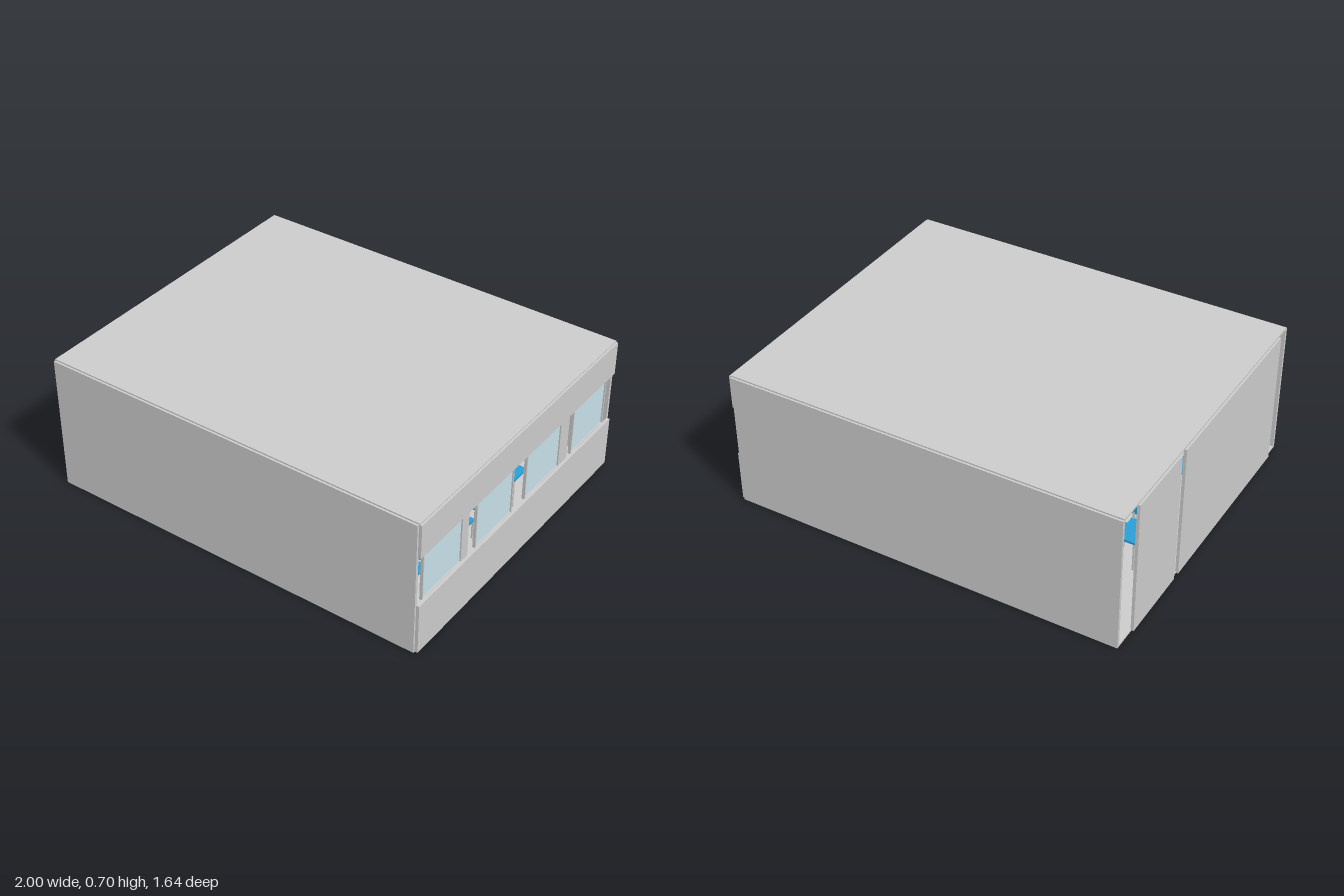
import * as THREE from 'three';

const mat = (color) => new THREE.MeshStandardMaterial({ color });
const grey = mat(0xcccccc);
const glass = mat(0xc8dfe8);
const blue = mat(0x2a9fd8);
const wood = mat(0x9a6b45);
const dark = mat(0x3a4440);

// Box given by its minimum and maximum on each axis
function slab(parent, name, [x0, x1], [y0, y1], [z0, z1], material = grey) {
  const mesh = new THREE.Mesh(new THREE.BoxGeometry(x1 - x0, y1 - y0, z1 - z0), material);
  mesh.position.set((x0 + x1) / 2, (y0 + y1) / 2, (z0 + z1) / 2);
  mesh.name = name;
  parent.add(mesh);
  return mesh;
}

// Four thin legs under a rectangular top
function legs(parent, w, d, h) {
  for (const sx of [-1, 1]) for (const sz of [-1, 1]) {
    const x = sx * (w / 2 - 0.006), z = sz * (d / 2 - 0.006);
    slab(parent, 'leg', [x - 0.004, x + 0.004], [0, h], [z - 0.004, z + 0.004]);
  }
}

function makeDesk(name, w, d, h, topMaterial) {
  const desk = new THREE.Group();
  desk.name = name;
  slab(desk, 'deskTop', [-w / 2, w / 2], [h - 0.012, h], [-d / 2, d / 2], topMaterial);
  legs(desk, w, d, h - 0.012);
  return desk;
}

function makeChair() {
  const chair = new THREE.Group();
  chair.name = 'chair';
  slab(chair, 'seat', [-0.045, 0.045], [0.1, 0.11], [-0.045, 0.045], blue);
  slab(chair, 'backrest', [-0.045, 0.045], [0.14, 0.2], [0.038, 0.045], blue);
  for (const x of [-0.035, 0.035]) slab(chair, 'backPost', [x - 0.004, x + 0.004], [0.1, 0.15], [0.036, 0.043]);
  legs(chair, 0.09, 0.09, 0.1);
  return chair;
}

export function createModel() {
  const room = new THREE.Group();
  room.name = 'classroom';

  // Floor, roof and the two long walls
  slab(room, 'floor', [-0.99, 0.99], [0, 0.01], [-0.81, 0.81]);
  slab(room, 'roof', [-0.99, 0.99], [0.69, 0.7], [-0.81, 0.81]);
  slab(room, 'frontWall', [-0.99, 0.985], [0, 0.693], [0.805, 0.82]);
  slab(room, 'backWall', [-0.99, 0.985], [0, 0.693], [-0.82, -0.805]);

  // Window wall: a sill band and a header band
  slab(room, 'sillWall', [0.985, 1], [0, 0.26], [-0.81, 0.81]);
  slab(room, 'headerWall', [0.985, 1], [0.52, 0.693], [-0.81, 0.81]);

  // Four framed panes
  for (const z of [-0.615, -0.205, 0.205, 0.615]) {
    const win = new THREE.Group();
    win.name = 'window';
    slab(win, 'pane', [0.974, 0.978], [0.26, 0.52], [-0.145, 0.145], glass);
    for (const s of [-1, 1]) {
      slab(win, 'frameSide', [0.97, 0.985], [0.26, 0.52], [s * 0.147 - 0.003, s * 0.147 + 0.003]);
      const y = 0.39 + s * 0.131;
      slab(win, 'frameRail', [0.97, 0.985], [y - 0.003, y + 0.003], [-0.15, 0.15]);
    }
    win.position.z = z;
    room.add(win);
  }

  // Columns behind the outer gaps between the panes
  for (const z of [-0.425, 0.425]) {
    slab(room, 'column', [0.9, 0.965], [0.01, 0.69], [z - 0.04, z + 0.04]);
  }

  // Entrance wall in two panels with open gaps
  slab(room, 'longPanel', [-1, -0.985], [0, 0.69], [-0.26, 0.73]);
  slab(room, 'shortPanel', [-1, -0.985], [0, 0.69], [-0.69, -0.3]);

  // Board on the back wall and the teacher's desk
  slab(room, 'board', [-0.5, 0.5], [0.22, 0.5], [-0.8, -0.785], dark);
  const teacherDesk = makeDesk('teacherDesk', 0.3, 0.14, 0.17, wood);
  teacherDesk.position.set(0.45, 0.01, -0.56);
  room.add(teacherDesk);

  // Rows of pupils' desks with chairs
  for (const x of [-0.75, -0.45, -0.15, 0.15, 0.45, 0.75]) {
    for (const z of [-0.3, -0.02, 0.26, 0.54]) {
      const desk = makeDesk('pupilDesk', 0.15, 0.11, 0.16, blue);
      desk.position.set(x, 0.01, z);
      const chair = makeChair();
      chair.position.set(x, 0.01, z + 0.11);
      room.add(desk, chair);
    }
  }
  return room;
}
